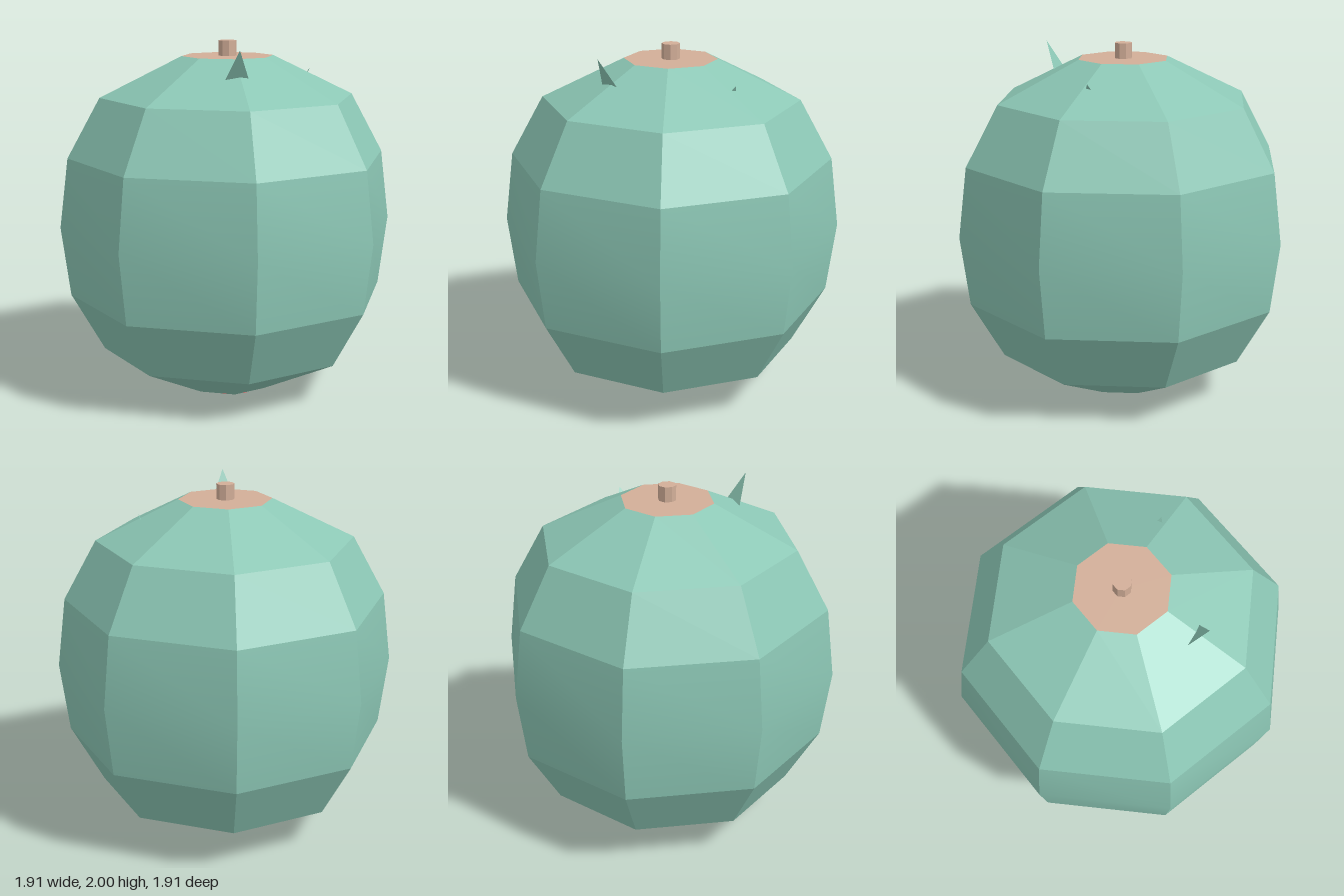
import * as THREE from 'three';
import { toCreasedNormals } from 'three/addons/utils/BufferGeometryUtils.js';

const paint = (color, flatShading = false, side = THREE.FrontSide) => {
  const material = new THREE.MeshStandardMaterial({ side, flatShading });
  material.color.set(color);
  return material;
};

export function createModel() {
  const root = new THREE.Group();
  const mint = 0x8cc7b5, tan = 0xd2ae98;
  const BOTTOM = 0.004, TOP = 1.915, RIM = 0.26;

  const add = (name, geometry, material, x = 0, y = 0, z = 0) => {
    const mesh = new THREE.Mesh(geometry, material);
    mesh.name = name;
    mesh.position.set(x, y, z);
    root.add(mesh);
    return mesh;
  };

  // Eight-sided round body, soft only across its widest ring
  const profile = [[RIM, BOTTOM], [0.72, 0.235], [0.905, 0.565], [0.955, 0.96],
    [0.905, 1.355], [0.72, 1.69], [RIM, TOP]].map(([r, y]) => new THREE.Vector2(r, y));
  add('body', toCreasedNormals(new THREE.LatheGeometry(profile, 8), 0.3), paint(mint));

  // Flat cut top with a short stem
  const top = new THREE.CircleGeometry(RIM, 8).rotateX(-Math.PI / 2);
  add('topCap', top, paint(tan), 0, TOP, 0);
  add('stem', new THREE.CylinderGeometry(0.05, 0.05, 2 - TOP, 8), paint(tan, true), 0, (2 + TOP) / 2, 0);

  // Closed underside with a ragged blossom scar
  const base = new THREE.CircleGeometry(RIM, 8).rotateX(Math.PI / 2);
  add('baseCap', base, paint(0x8f6b64), 0, BOTTOM, 0);
  const scar = new THREE.Shape();
  for (let i = 0; i < 24; i++) {
    const a = (i / 24) * Math.PI * 2, r = i % 2 ? 0.21 : 0.25;
    scar[i ? 'lineTo' : 'moveTo'](r * Math.cos(a), r * Math.sin(a));
  }
  add('blossomScar', new THREE.ShapeGeometry(scar).rotateX(Math.PI / 2), paint(0x8f6b64), 0, 0.002, 0);
  const patch = (name, r, color, x, z) =>
    add(name, new THREE.CircleGeometry(r, 7).rotateX(Math.PI / 2), paint(color), x, 0.0005, z);
  patch('blossomCentre', 0.08, 0x857b9c, 0, 0);
  patch('blossomSpot', 0.04, 0x9c8a50, -0.1, -0.12);

  // Thin single-triangle pieces
  const triangle = (name, color, ...points) => {
    const g = new THREE.BufferGeometry().setFromPoints(points.map(p => new THREE.Vector3(...p)));
    g.computeVertexNormals();
    add(name, g, paint(color, true, THREE.DoubleSide));
  };
  triangle('leaf', mint, [-0.08, 1.82, 0.42], [0.045, 1.825, 0.42], [-0.015, 1.98, 0.5]);
  triangle('leafTip', mint, [0.465, 1.81, -0.045], [0.465, 1.815, -0.015], [0.48, 1.84, -0.03]);

  // Red petal tips peeping out at the front and back of the underside
  for (const [z, reach] of [[1, 0.28], [-1, 0.3]]) {
    for (const x of [-0.055, 0.055]) {
      triangle('petalTip', 0xd9706f, [x - 0.03, 0, z * 0.22], [x + 0.03, 0, z * 0.22], [x, 0.018, z * reach]);
    }
  }
  return root;
}
